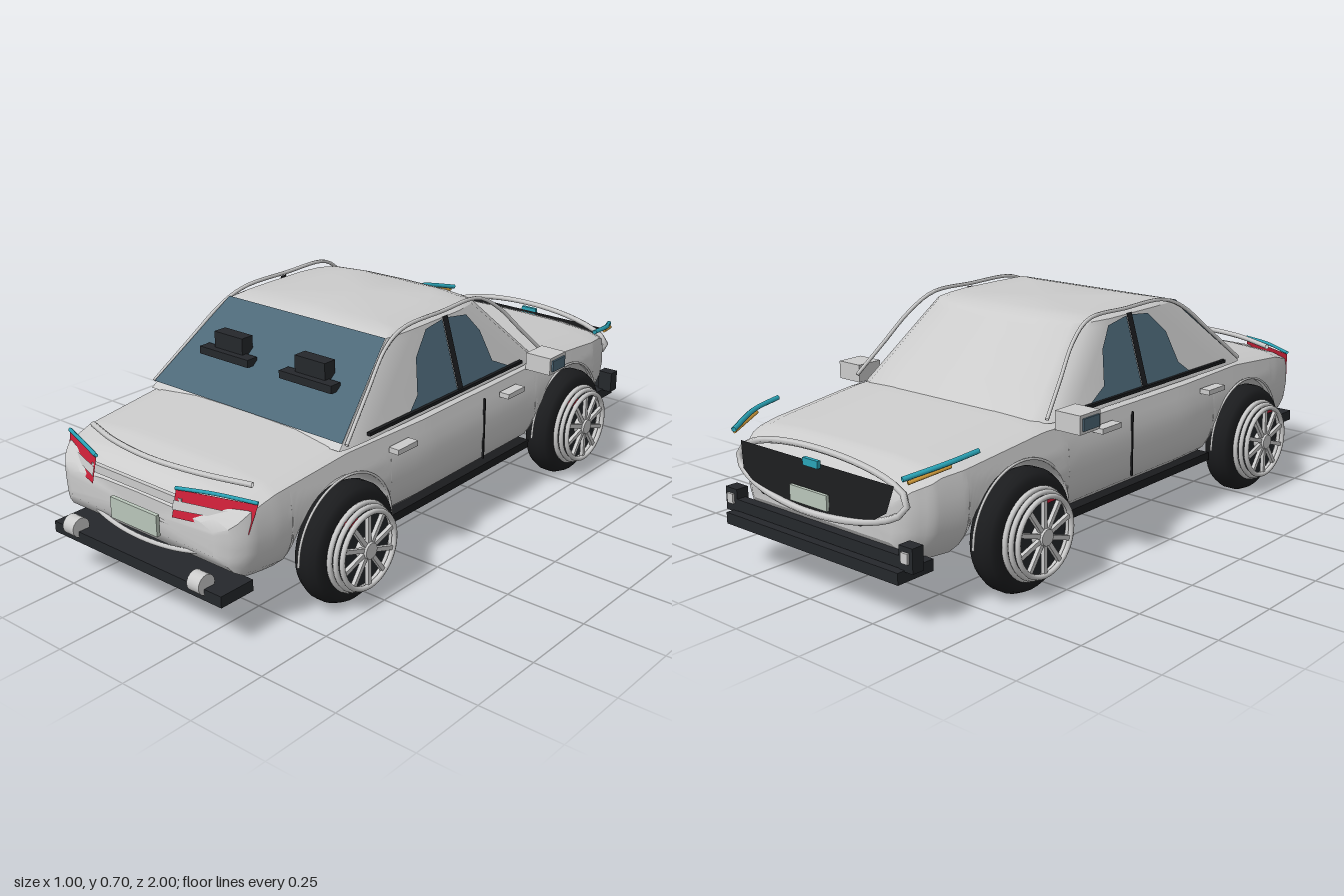
import * as THREE from 'three';
import { toCreasedNormals } from 'three/addons/utils/BufferGeometryUtils.js';

const mat = (color) => new THREE.MeshStandardMaterial({ color, side: THREE.DoubleSide });
const paint = mat(0xcccccc), dark = mat(0x25282c), black = mat(0x1b1c1e), glass = mat(0x4d6878);
const red = mat(0xcc2038), cyan = mat(0x2aa5b8), plateMat = mat(0xb9c6ba), amber = mat(0xd09a3a);
const V = (x, y, z) => new THREE.Vector3(x, y, z);

function add(parent, name, geometry, material, x = 0, y = 0, z = 0) {
  const m = new THREE.Mesh(geometry, material);
  m.name = name;
  m.position.set(x, y, z);
  parent.add(m);
  return m;
}
const box = (p, name, material, w, h, d, x, y, z) => add(p, name, new THREE.BoxGeometry(w, h, d), material, x, y, z);
const tube = (p, name, material, pts, r, closed = false) =>
  add(p, name, new THREE.TubeGeometry(new THREE.CatmullRomCurve3(pts, closed), 40, r, 6, closed), material);

// Flat outline [a, b] placed in space by a mapping rule
function panel(p, name, material, pts, place) {
  const g = new THREE.ShapeGeometry(new THREE.Shape(pts.map(([a, b]) => new THREE.Vector2(a, b))));
  const pos = g.attributes.position;
  for (let i = 0; i < pos.count; i++) pos.setXYZ(i, ...place(pos.getX(i), pos.getY(i)));
  g.computeVertexNormals();
  return add(p, name, g, material);
}

// Piecewise linear lookup in [key, value] pairs
function lookup(table, k) {
  if (k <= table[0][0]) return table[0][1];
  for (let i = 1; i < table.length; i++) {
    const [a, va] = table[i - 1], [b, vb] = table[i];
    if (k <= b) return va + (vb - va) * (k - a) / (b - a);
  }
  return table[table.length - 1][1];
}

// Skin over closed rings of equal length, both ends capped
function loft(rings) {
  const n = rings[0].length, verts = [], idx = [];
  rings.forEach((r) => r.forEach((p) => verts.push(p.x, p.y, p.z)));
  for (let i = 0; i < rings.length - 1; i++) for (let j = 0; j < n; j++) {
    const a = i * n + j, b = i * n + (j + 1) % n;
    idx.push(a, b, a + n, b, b + n, a + n);
  }
  [0, rings.length - 1].forEach((ri, k) => {
    const c = rings[ri].reduce((s, p) => s.add(p), V(0, 0, 0)).divideScalar(n), ci = verts.length / 3;
    verts.push(c.x, c.y, c.z);
    for (let j = 0; j < n; j++) {
      const a = ri * n + j, b = ri * n + (j + 1) % n;
      idx.push(ci, k ? a : b, k ? b : a);
    }
  });
  const g = new THREE.BufferGeometry();
  g.setAttribute('position', new THREE.Float32BufferAttribute(verts, 3));
  g.setIndex(idx);
  return toCreasedNormals(g, 0.6);
}

const WHEELS = [-0.58, 0.555], WHEEL_Y = 0.178, ARCH = 0.197;
const topY = [[-0.955, 0.36], [-0.93, 0.39], [-0.85, 0.418], [-0.47, 0.457], [0.52, 0.457], [0.8, 0.43], [0.89, 0.405], [0.95, 0.35]];
const lowY = [[-0.955, 0.22], [-0.92, 0.17], [-0.84, 0.15], [0.74, 0.15], [0.86, 0.17], [0.92, 0.205], [0.95, 0.25]];
const halfW = [[-0.955, 0.29], [-0.935, 0.33], [-0.88, 0.37], [-0.78, 0.395], [-0.4, 0.415], [0.2, 0.42], [0.5, 0.405], [0.8, 0.385], [0.89, 0.37], [0.93, 0.34], [0.95, 0.29]];
const bulge = [[0.15, 0.8], [0.19, 0.92], [0.24, 0.98], [0.3, 1], [0.36, 0.99], [0.45, 0.94]];

// Cross-section of the lower body at z, with its floor at height yb
function bodyRing(z, yb) {
  const yt = lookup(topY, z), w = lookup(halfW, z), ys = yt - 0.028, half = [];
  for (let i = 0; i <= 8; i++) {
    const y = yb + (ys - yb) * i / 8;
    half.push([w * lookup(bulge, y), y]);
  }
  half.push([w * 0.84, yt - 0.012], [w * 0.5, yt - 0.002]);
  const ring = [[0, yb], ...half, [0, yt], ...half.slice().reverse().map(([x, y]) => [-x, y])];
  return ring.map(([x, y]) => V(x, y, z));
}

function buildBody(car) {
  const stations = [];
  const span = (a, b, n) => {
    for (let i = 0; i <= n; i++) {
      const z = a + (b - a) * i / n;
      stations.push([z, lookup(lowY, z)]);
    }
  };
  const arch = (c) => {
    for (let i = 0; i <= 24; i++) {
      const t = Math.PI * (1 - i / 24);
      stations.push([c + ARCH * Math.cos(t), WHEEL_Y + ARCH * Math.sin(t)]);
    }
  };
  span(-0.955, WHEELS[0] - ARCH, 12);
  arch(WHEELS[0]);
  span(WHEELS[0] + ARCH, WHEELS[1] - ARCH, 14);
  arch(WHEELS[1]);
  span(WHEELS[1] + ARCH, 0.95, 12);
  add(car, 'body', loft(stations.map(([z, y]) => bodyRing(z, y))), paint);
}

// Cabin walls lean inwards in straight lines
const cabX = (y) => 0.39 - 0.3 * (y - 0.44);
const cabFront = (y) => -0.49 + 1.1 * (y - 0.44);
const cabRear = (y) => 0.55 - 1.22 * (y - 0.44);

function buildCabin(car) {
  const ring = (y, x, f, r) => {
    const half = [[0.5, f + 0.006], [0.85, f + 0.03], [0.96, f + 0.07], [1, f + 0.15], [1, 0], [1, r - 0.12], [0.99, r - 0.03], [0.97, r]];
    const pts = [[0, f], ...half.map(([k, z]) => [k * x, z]), [0, r], ...half.slice().reverse().map(([k, z]) => [-k * x, z])];
    return pts.map(([px, z]) => V(px, y, z)).reverse();
  };
  const rings = [0.44, 0.52, 0.6, 0.66, 0.676].map((y) => ring(y, cabX(y), cabFront(y), cabRear(y)));
  rings.push(ring(0.688, 0.298, -0.195, 0.23), ring(0.695, 0.2, -0.17, 0.19));
  add(car, 'cabin', loft(rings.map((r) => r.reverse()).reverse()), paint);

  panel(car, 'rearWindow', glass, [[-0.378, 0.455], [0.378, 0.455], [0.312, 0.675], [-0.312, 0.675]],
    (x, y) => [x, y + 0.004, cabRear(y) + 0.006]);
  for (const s of [1, -1]) {
    const side = (z, y) => [s * (cabX(y) + 0.005), y, z];
    panel(car, 'rearSideWindow', glass, [[0.015, 0.462], [0.25, 0.462], [0.2, 0.5], [0.17, 0.6], [0.1, 0.665], [0.015, 0.674]], side);
    panel(car, 'frontSideWindow', glass, [[-0.005, 0.462], [-0.26, 0.462], [-0.18, 0.5], [-0.15, 0.6], [-0.1, 0.66], [-0.005, 0.674]], side);
    panel(car, 'centrePillar', black, [[-0.008, 0.455], [0.018, 0.455], [0.018, 0.682], [-0.008, 0.682]],
      (z, y) => [s * (cabX(y) + 0.009), y, z]);
    box(car, 'windowSill', black, 0.012, 0.01, 0.76, s * 0.392, 0.46, 0.06);
    tube(car, 'roofRail', paint, [[0.53, 0.455], [0.4, 0.565], [0.29, 0.655], [0.2, 0.69], [0, 0.694], [-0.18, 0.69], [-0.27, 0.64], [-0.36, 0.55], [-0.45, 0.46]]
      .map(([z, y]) => V(s * (cabX(y) + 0.002), y, z)), 0.006);
    // Headrests standing through the rear window
    box(car, 'headrest', dark, 0.115, 0.07, 0.045, s * 0.163, 0.59, 0.405);
    box(car, 'headrestShelf', dark, 0.2, 0.024, 0.04, s * 0.163, 0.562, 0.43);
  }
}

function buildWheel(car, s, z) {
  const w = new THREE.Group();
  w.name = 'wheel';
  w.position.set(s * 0.402, WHEEL_Y, z);
  w.rotation.z = -s * Math.PI / 2;
  car.add(w);
  const profile = [[0, -0.04], [0.125, -0.044], [0.152, -0.046], [0.168, -0.036], [0.178, -0.014], [0.178, 0.014], [0.168, 0.036], [0.152, 0.046], [0.125, 0.046], [0, 0.03]];
  add(w, 'tyre', new THREE.LatheGeometry(profile.map(([r, y]) => new THREE.Vector2(r, y)), 40), black);
  add(w, 'brakeDisc', new THREE.CylinderGeometry(0.118, 0.118, 0.012, 32), dark, 0, 0.056, 0);
  for (const [r, y] of [[0.128, 0.054], [0.121, 0.07], [0.113, 0.087]]) {
    add(w, 'rimRing', new THREE.TorusGeometry(r, 0.008, 8, 40), paint, 0, y, 0).rotation.x = Math.PI / 2;
  }
  for (let i = 0; i < 10; i++) {
    const a = i * Math.PI / 5;
    box(w, 'spoke', paint, 0.1, 0.012, 0.013, 0.065 * Math.cos(a), 0.084, -0.065 * Math.sin(a)).rotation.y = a;
  }
  add(w, 'hub', new THREE.CylinderGeometry(0.024, 0.03, 0.04, 20), paint, 0, 0.077, 0);
  box(w, 'brakeCaliper', red, 0.02, 0.014, 0.045, -s * 0.095, 0.064, 0.05);
}

function buildTrim(car) {
  for (const s of [1, -1]) {
    box(car, 'mirror', paint, 0.09, 0.056, 0.09, s * 0.443, 0.457, -0.385);
    box(car, 'mirrorCap', glass, 0.008, 0.036, 0.07, s * 0.49, 0.457, -0.385);
    for (const z of [0.325, -0.225]) box(car, 'doorHandle', paint, 0.035, 0.016, 0.09, s * 0.426, 0.394, z);
    box(car, 'doorSeam', black, 0.006, 0.2, 0.005, s * 0.416, 0.31, -0.09);
    box(car, 'sill', black, 0.05, 0.026, 0.76, s * 0.365, 0.152, -0.01);
    for (const c of WHEELS) {
      const arc = [];
      for (let i = 0; i <= 12; i++) {
        const t = Math.PI * i / 12;
        arc.push(V(s * 0.408, WHEEL_Y + 0.2 * Math.sin(t), c + 0.2 * Math.cos(t)));
      }
      tube(car, 'archLip', paint, arc, 0.004);
    }
    // Tail lights wrap around the rear corners
    const wrap = (out) => (x, y) => [s * x, y, 0.962 - 0.4 * (x - 0.16) - 0.25 * (y - 0.32) + out];
    panel(car, 'tailLight', red, [[0.16, 0.335], [0.365, 0.32], [0.378, 0.4], [0.16, 0.41]], wrap(0.015));
    panel(car, 'tailLightInset', paint, [[0.16, 0.357], [0.3, 0.352], [0.32, 0.372], [0.16, 0.383]], wrap(0.019));
    tube(car, 'tailLightStrip', cyan, [V(s * 0.16, 0.414, 0.955), V(s * 0.27, 0.415, 0.915), V(s * 0.378, 0.405, 0.87)], 0.006);
    add(car, 'exhaust', new THREE.CylinderGeometry(0.03, 0.03, 0.045, 20), paint, s * 0.255, 0.173, 0.97).rotation.z = Math.PI / 2;
    // Front running lights
    tube(car, 'runningLight', cyan, [V(s * 0.405, 0.447, -0.75), V(s * 0.39, 0.435, -0.85), V(s * 0.34, 0.41, -0.965)], 0.008);
    tube(car, 'indicator', amber, [V(s * 0.392, 0.425, -0.84), V(s * 0.35, 0.4, -0.955)], 0.006);
    box(car, 'bumperBlock', dark, 0.05, 0.07, 0.04, s * 0.355, 0.2, -0.955);
    box(car, 'bumperLamp', paint, 0.025, 0.03, 0.008, s * 0.355, 0.205, -0.978);
  }
  // Rear end
  box(car, 'rearBumper', dark, 0.68, 0.034, 0.12, 0, 0.147, 0.92);
  box(car, 'rearPlate', plateMat, 0.186, 0.064, 0.012, 0, 0.284, 0.965);
  box(car, 'rearTrimBar', paint, 0.36, 0.025, 0.014, 0, 0.375, 0.95);
  tube(car, 'bootLip', paint, [V(-0.32, 0.425, 0.83), V(-0.17, 0.433, 0.88), V(0, 0.435, 0.9), V(0.17, 0.433, 0.88), V(0.32, 0.425, 0.83)], 0.009);
  const scoop = [];
  for (let i = 0; i < 24; i++) {
    const a = i * Math.PI / 12;
    scoop.push(V(0.25 * Math.cos(a), 0.255 + 0.042 * Math.sin(a), 0.95 - 0.03 * Math.cos(a) ** 2));
  }
  tube(car, 'rearScoop', paint, scoop, 0.007, true);

  // Front end
  box(car, 'frontBumper', dark, 0.7, 0.034, 0.13, 0, 0.152, -0.935);
  box(car, 'bumperBeam', dark, 0.72, 0.035, 0.03, 0, 0.188, -0.96);
  panel(car, 'grille', black, [[-0.31, 0.385], [0.31, 0.385], [0.29, 0.31], [0.2, 0.255], [-0.2, 0.255], [-0.29, 0.31]],
    (x, y) => [x, y, -0.985 + 0.15 * (y - 0.25)]);
  const surround = [];
  for (let i = 0; i < 24; i++) {
    const a = i * Math.PI / 12, c = Math.cos(a), q = Math.sin(a);
    surround.push(V(0.34 * c, 0.335 + 0.085 * q, -0.97 + 0.02 * q + 0.02 * c * c));
  }
  tube(car, 'grilleSurround', paint, surround, 0.01, true);
  box(car, 'frontPlate', plateMat, 0.15, 0.045, 0.01, 0, 0.29, -0.985);
  box(car, 'grilleAccent', cyan, 0.06, 0.022, 0.012, 0, 0.385, -0.972);
}

export function createModel() {
  const car = new THREE.Group();
  car.name = 'car';
  buildBody(car);
  buildCabin(car);
  for (const z of WHEELS) for (const s of [1, -1]) buildWheel(car, s, z);
  buildTrim(car);
  return car;
}
